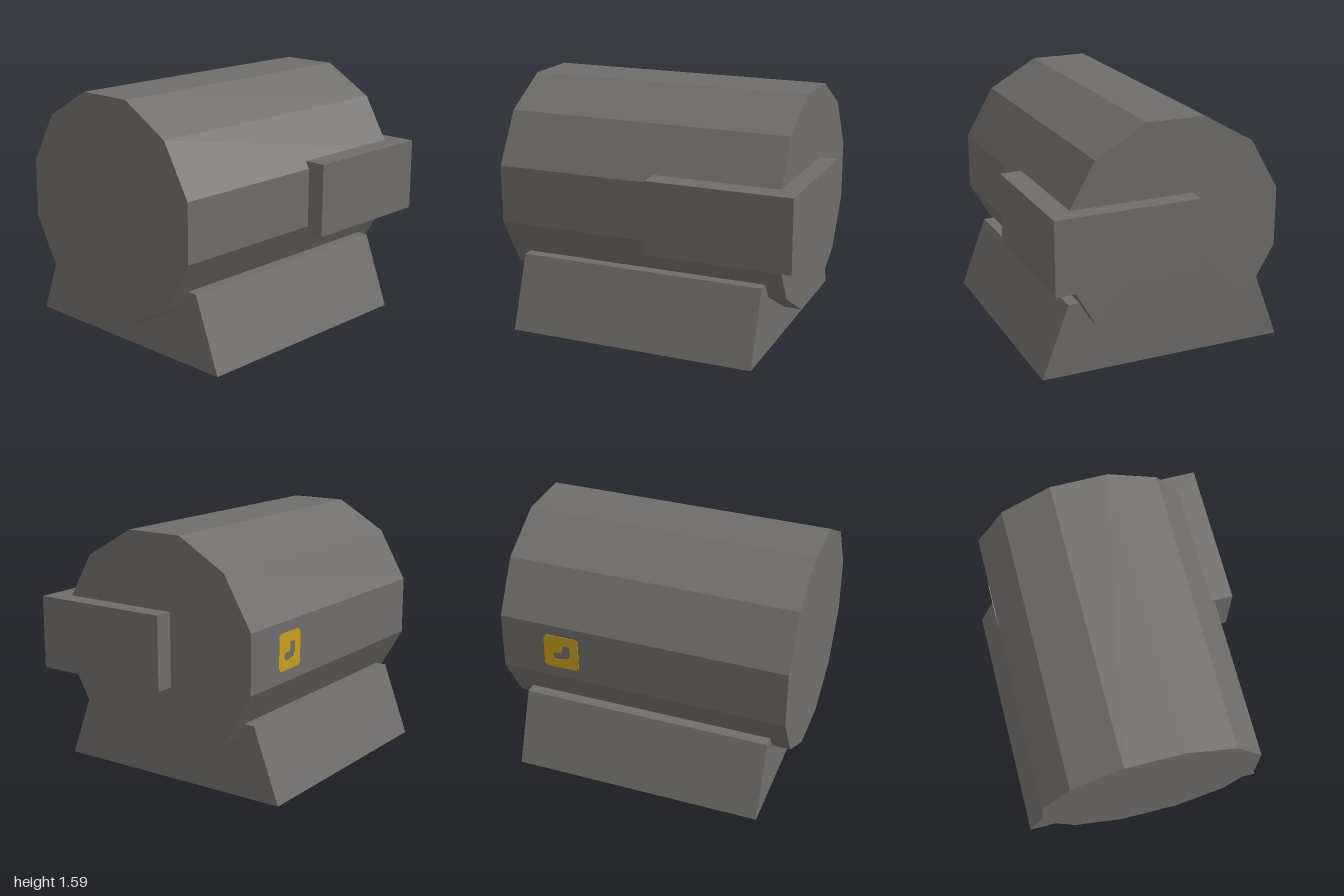
import * as THREE from 'three';

const steel = new THREE.MeshStandardMaterial({ color: 0x706e6b, flatShading: true });
steel.name = 'dull grey';
const yellow = new THREE.MeshStandardMaterial({ color: 0xc8a01c, flatShading: true });
yellow.name = 'warning yellow';

function addMesh(group, name, geometry, material, x = 0, y = 0, z = 0) {
  const mesh = new THREE.Mesh(geometry, material);
  mesh.name = name;
  mesh.position.set(x, y, z);
  group.add(mesh);
  return mesh;
}

const toPoints = (pairs) => pairs.map(([x, y]) => new THREE.Vector2(x, y));

export function createModel() {
  const group = new THREE.Group();
  group.name = 'drumMachine';

  // Twelve-sided drum lying along z, with a flat side on top
  const drum = new THREE.CylinderGeometry(0.73, 0.73, 1.88, 12);
  drum.rotateY(Math.PI / 12).rotateX(Math.PI / 2);
  addMesh(group, 'drum', drum, steel, 0, 0.885, 0.06);

  // Sloped cradle the drum is sunk into
  const profile = new THREE.Shape(toPoints([[-0.822, 0], [0.822, 0], [0.645, 0.47], [-0.645, 0.47]]));
  const cradle = new THREE.ExtrudeGeometry(profile, { depth: 1.64, bevelEnabled: false });
  addMesh(group, 'cradle', cradle, steel, 0, 0, -0.76);

  // Housing wrapped around the rear corner
  addMesh(group, 'cornerBox', new THREE.BoxGeometry(0.935, 0.47, 0.94), steel, 0.3525, 0.885, -0.53);

  // Thin warning plate with a cut-out symbol on the flat right flank
  const s = 0.234, c = 0.02;
  const plate = new THREE.Shape(toPoints([
    [c, 0], [s - c, 0], [s, c], [s, s - c], [s - c, s], [c, s], [0, s - c], [0, c],
  ]));
  plate.holes.push(new THREE.Path(toPoints([
    [0.125, 0.17], [0.165, 0.17], [0.175, 0.16], [0.175, 0.095], [0.155, 0.07],
    [0.09, 0.055], [0.065, 0.065], [0.058, 0.09], [0.075, 0.11], [0.11, 0.11], [0.12, 0.12],
  ])));
  const plateGeometry = new THREE.ExtrudeGeometry(plate, { depth: 0.005, bevelEnabled: false });
  plateGeometry.rotateY(-Math.PI / 2);
  addMesh(group, 'warningPlate', plateGeometry, yellow, -0.704, 0.77, -0.588);

  return group;
}
